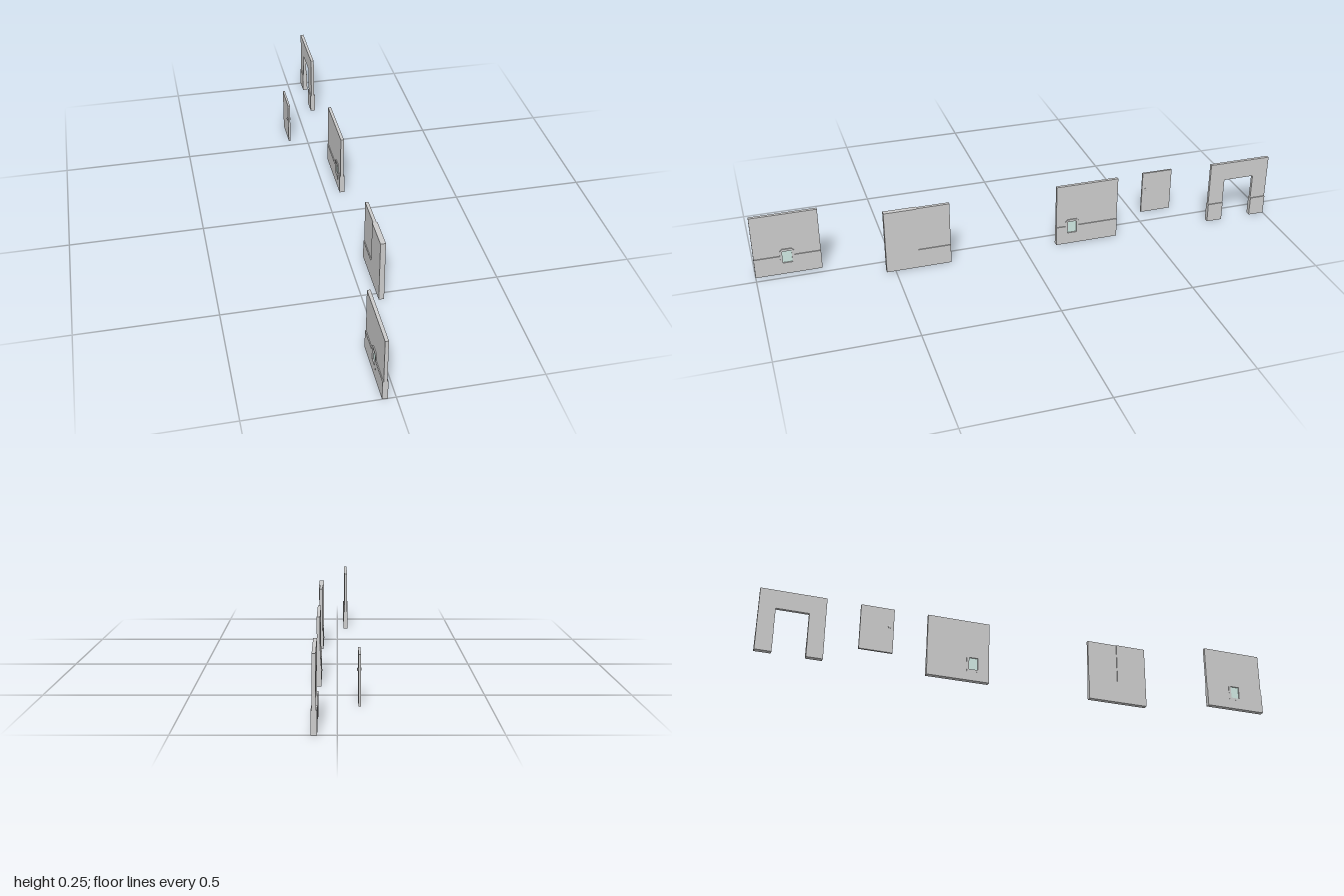
import * as THREE from 'three';

const grey = new THREE.MeshStandardMaterial({ color: 0xcccccc, flatShading: true });
const glass = new THREE.MeshStandardMaterial({ color: 0xcfe8e2 });

const H = 0.247;       // wall height
const W = 0.245;       // wall length
const BASE = 0.075;    // skirting height
const THIN = 0.012;    // upper wall thickness
const THICK = 0.019;   // skirting thickness
const WIN = { half: 0.0175, y0: 0.046, y1: 0.094 };

// Extrudes a [z, y] outline across x, centred on x = 0.
function slab(name, outline, thickness, hole) {
  const toPoints = (list) => list.map(([z, y]) => new THREE.Vector2(z, y));
  const shape = new THREE.Shape(toPoints(outline));
  if (hole) shape.holes.push(new THREE.Path(toPoints(hole)));
  const geo = new THREE.ExtrudeGeometry(shape, { depth: thickness, bevelEnabled: false });
  geo.translate(0, 0, -thickness / 2).rotateY(-Math.PI / 2);
  const mesh = new THREE.Mesh(geo, grey);
  mesh.name = name;
  return mesh;
}

const rect = (z0, z1, y0, y1) => [[z0, y0], [z1, y0], [z1, y1], [z0, y1]];

function section(name, x, z, ...parts) {
  const g = new THREE.Group();
  g.name = name;
  g.position.set(x, 0, z);
  g.add(...parts);
  return g;
}

// Wall with a small framed window centred at local z = c.
function windowWall(name, x, z, c) {
  const { half, y0, y1 } = WIN;
  const e = W / 2, a = c - half, b = c + half;
  const opening = rect(a, b, y0, y1);
  const wall = slab('upperWall', rect(-e, e, 0, H), THIN, opening);
  const base = slab('skirting',
    [[-e, 0], [e, 0], [e, BASE], [b, BASE], [b, y0], [a, y0], [a, BASE], [-e, BASE]], THICK);

  // Frame with clipped upper corners
  const m = 0.009, f0 = a - m, f1 = b + m, top = y1 + m;
  const frame = slab('windowFrame',
    [[f0, y0 - m], [f1, y0 - m], [f1, top - m], [f1 - m, top], [f0 + m, top], [f0, top - m]],
    THICK + 0.0006, opening);

  const pane = new THREE.Mesh(new THREE.BoxGeometry(THIN * 0.8, y1 - y0, half * 2), glass);
  pane.name = 'windowPane';
  pane.position.set(0, (y0 + y1) / 2, c);
  return section(name, x, z, wall, base, frame, pane);
}

// Wall whose front half is full thickness and rear half steps in above the skirting.
function steppedWall(x, z) {
  const e = W / 2;
  return section('steppedWall', x, z,
    slab('thickHalfAndSkirting', [[-e, 0], [e, 0], [e, H], [0, H], [0, BASE], [-e, BASE]], THICK),
    slab('thinHalf', rect(-e, 0, BASE, H), THIN));
}

// Wall with a doorway and skirting on both legs.
function doorwayWall(x, z) {
  const e = W / 2, d = 0.061, top = 0.174;
  return section('doorwayWall', x, z,
    slab('doorway', [[-e, 0], [-d, 0], [-d, top], [d, top], [d, 0], [e, 0], [e, H], [-e, H]], THIN),
    slab('rearSkirting', rect(-e, -d, 0, BASE), THICK),
    slab('frontSkirting', rect(d, e, 0, BASE), THICK));
}

// Door leaf with a knob on each face.
function door(x, z) {
  const leaf = slab('doorLeaf', rect(-0.0615, 0.0615, 0, 0.173), 0.008);
  const profile = [[0.003, 0.003], [0.003, 0.0045], [0.006, 0.0052], [0.006, 0.0065], [0.004, 0.0075], [0, 0.0075]]
    .map(([r, y]) => new THREE.Vector2(r, y));
  const knobs = [-1, 1].map((side) => {
    const knob = new THREE.Mesh(new THREE.LatheGeometry(profile, 10), grey);
    knob.name = side > 0 ? 'leftKnob' : 'rightKnob';
    knob.rotation.z = -side * Math.PI / 2;
    knob.position.set(0, 0.101, 0.046);
    return knob;
  });
  return section('door', x, z, leaf, ...knobs);
}

export function createModel() {
  const model = new THREE.Group();
  model.name = 'wallSet';
  model.add(
    windowWall('centreWindowWall', -0.037, 0.8775, 0.001),
    steppedWall(0.0655, 0.411),
    windowWall('offsetWindowWall', 0.0655, -0.2475, 0.06),
    door(-0.073, -0.5945),
    doorwayWall(0.0695, -0.8775),
  );
  return model;
}
